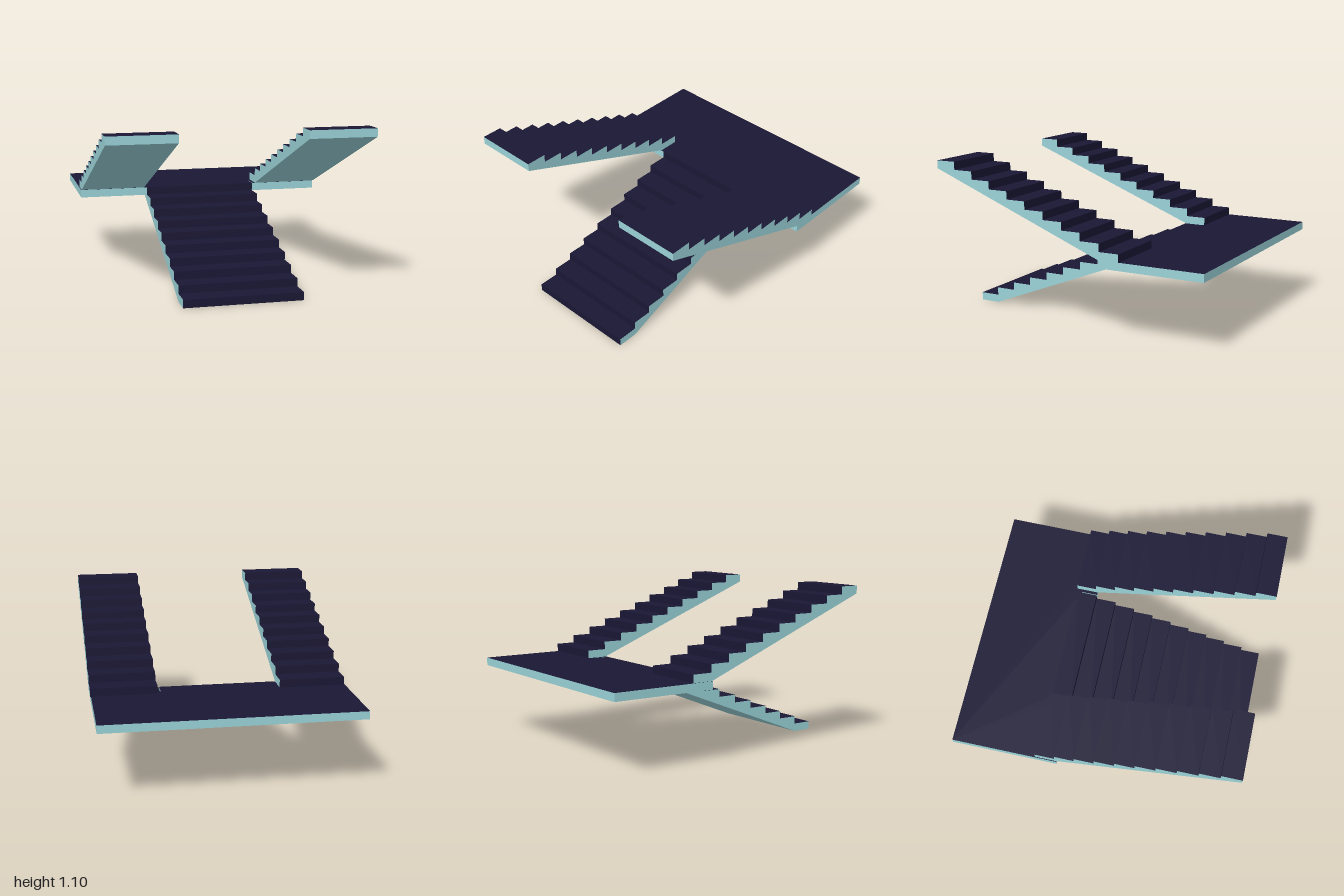
import * as THREE from 'three';
import { mergeGeometries } from 'three/addons/utils/BufferGeometryUtils.js';

const dark = new THREE.MeshStandardMaterial({ color: 0x1a1735 });
const pale = new THREE.MeshStandardMaterial({ color: 0x9ad3d8 });
const paleThin = new THREE.MeshStandardMaterial({ color: 0x9ad3d8, side: THREE.DoubleSide });

const STEPS = 10, RISE = 0.055, RUN = 0.14;
const SLAB_BOTTOM = 0.495, SLAB_TOP = 0.55;

// Sweeps a [z, y] path straight across from x0 to x1 as flat quads
function strip(path, x0, x1) {
  const pos = [];
  for (let i = 0; i < path.length - 1; i++) {
    const [az, ay] = path[i], [bz, by] = path[i + 1];
    pos.push(x0, ay, az, x1, ay, az, x1, by, bz);
    pos.push(x0, ay, az, x1, by, bz, x0, by, bz);
  }
  const g = new THREE.BufferGeometry();
  g.setAttribute('position', new THREE.Float32BufferAttribute(pos, 3));
  g.computeVertexNormals();
  return g;
}

function addMesh(parent, name, geometry, material) {
  const mesh = new THREE.Mesh(geometry, material);
  mesh.name = name;
  parent.add(mesh);
}

// One flight: dark treads and risers, pale soffit and sides
function flight(name, treadPath, soffitPath, x0, x1) {
  const group = new THREE.Group();
  group.name = name;
  addMesh(group, 'treadsAndRisers', strip(treadPath, x0, x1), dark);
  addMesh(group, 'soffit', strip(soffitPath, x0, x1), pale);
  const outline = [...treadPath, ...soffitPath.slice(1, -1)];
  const shape = new THREE.Shape(outline.map(([z, y]) => new THREE.Vector2(z, y)));
  const sides = [x0, x1].map(x =>
    new THREE.ShapeGeometry(shape).rotateY(-Math.PI / 2).translate(x, 0, 0));
  addMesh(group, 'sides', mergeGeometries(sides), paleThin);
  return group;
}

export function createModel() {
  const model = new THREE.Group();

  // Lower flight, climbing from the front to the landing
  const lower = [[1, 0]];
  for (let i = 0; i < STEPS; i++) {
    const y = (i + 1) * RISE;
    lower.push([1 - i * RUN, y], [1 - (i + 1) * RUN, y]);
  }
  const lowerSoffit = [lower.at(-1), [-0.4, SLAB_BOTTOM], [0.86, 0], lower[0]];
  model.add(flight('lowerFlight', lower, lowerSoffit, -0.4, 0.395));

  // Upper flights, climbing from the landing back toward the front
  const upper = [];
  for (let i = STEPS; i > 0; i--) {
    const y = SLAB_TOP + i * RISE, z = -0.41 + i * RUN;
    upper.push([z, y], [z - RUN, y]);
  }
  upper.push([-0.41, SLAB_TOP]);
  const upperSoffit = [upper.at(-1), [-0.265, SLAB_TOP], [0.99, 1.045], upper[0]];
  model.add(flight('upperFlightLeft', upper, upperSoffit, 0.42, 0.875));
  model.add(flight('upperFlightRight', upper, upperSoffit, -0.875, -0.42));

  // Landing slab, notched where the lower flight arrives
  const plan = [[-0.88, -1], [-0.88, -0.26], [-0.4, -0.26], [-0.4, -0.37],
    [0.4, -0.37], [0.4, -0.26], [0.868, -0.26], [0.868, -1]];
  const shape = new THREE.Shape(plan.map(([x, z]) => new THREE.Vector2(x, -z)));
  const slab = new THREE.ExtrudeGeometry(shape,
    { depth: SLAB_TOP - SLAB_BOTTOM, bevelEnabled: false });
  slab.rotateX(-Math.PI / 2).translate(0, SLAB_BOTTOM, 0);
  // Underside and edges pale, top dark
  const [caps, edges] = slab.groups;
  slab.clearGroups();
  slab.addGroup(0, caps.count / 2, 0);
  slab.addGroup(caps.count / 2, caps.count / 2, 1);
  slab.addGroup(edges.start, edges.count, 0);
  addMesh(model, 'landing', slab, [pale, dark]);

  return model;
}
